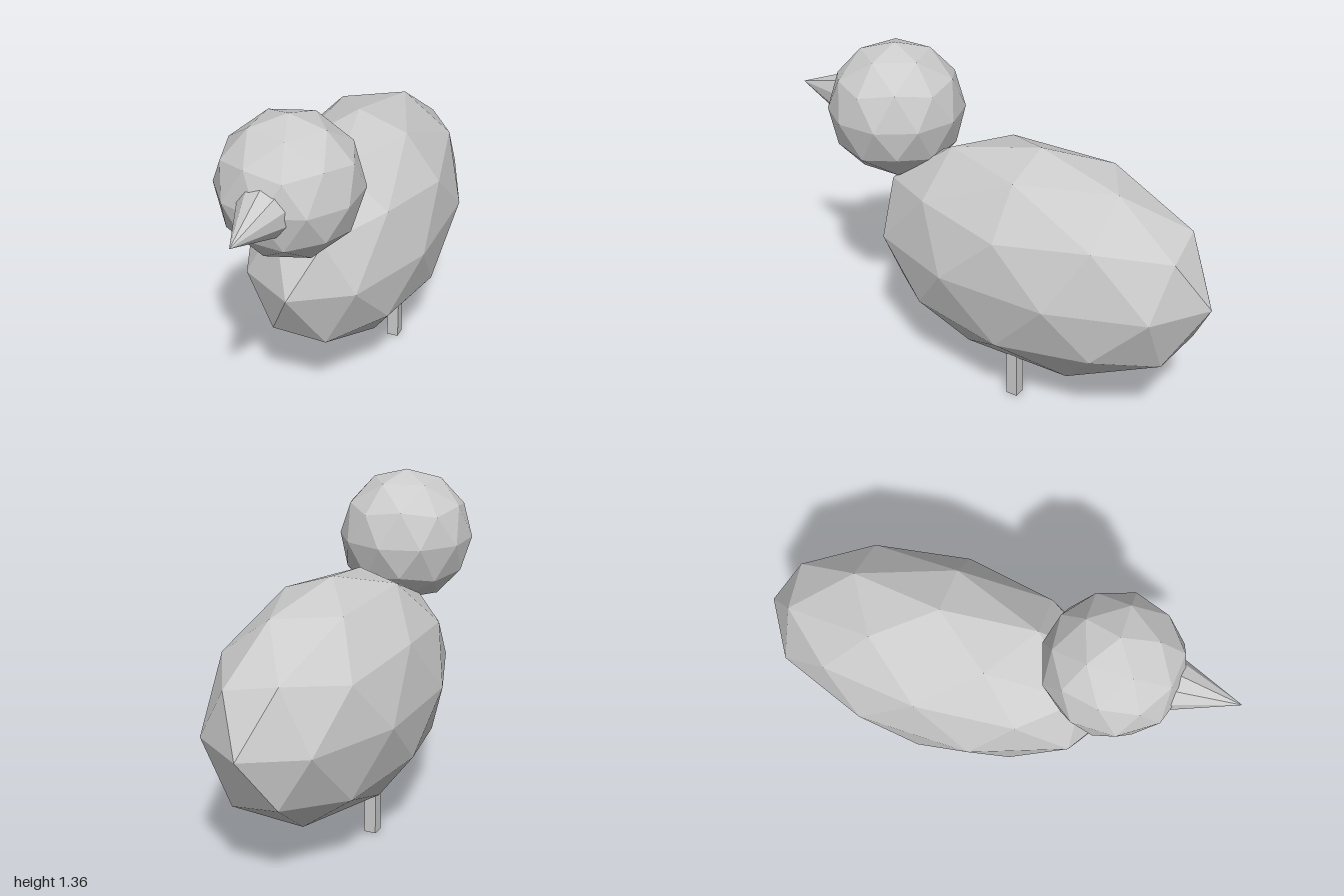
import * as THREE from 'three';

const grey = new THREE.MeshStandardMaterial({ color: 0xcccccc, flatShading: true });
grey.name = 'grey';

// Faceted ball with one corner straight up, stretched to an ellipsoid
function facetedBall(rx, ry, rz) {
  const golden = (1 + Math.sqrt(5)) / 2;
  const geometry = new THREE.IcosahedronGeometry(1, 1);
  geometry.rotateZ(-Math.atan(1 / golden));
  geometry.scale(rx, ry, rz);
  geometry.computeVertexNormals();
  return geometry;
}

export function createModel() {
  const model = new THREE.Group();
  model.name = 'bird';

  const add = (name, geometry, x, y, z) => {
    const mesh = new THREE.Mesh(geometry, grey);
    mesh.name = name;
    mesh.position.set(x, y, z);
    model.add(mesh);
  };

  add('body', facetedBall(0.4, 0.488, 0.777), 0, 0.583, -0.223);
  add('head', facetedBall(0.289, 0.289, 0.289), 0, 1.072, 0.49);

  // Ten-sided beak, its base sunk into the head
  const beak = new THREE.ConeGeometry(0.118, 0.3, 10);
  beak.rotateX(Math.PI / 2);
  add('beak', beak, 0, 1.07, 0.85);

  // Square peg legs, tops inside the body
  for (const [name, side] of [['leftLeg', 1], ['rightLeg', -1]]) {
    add(name, new THREE.BoxGeometry(0.05, 0.2, 0.05), side * 0.178, 0.1, -0.22);
  }

  return model;
}
